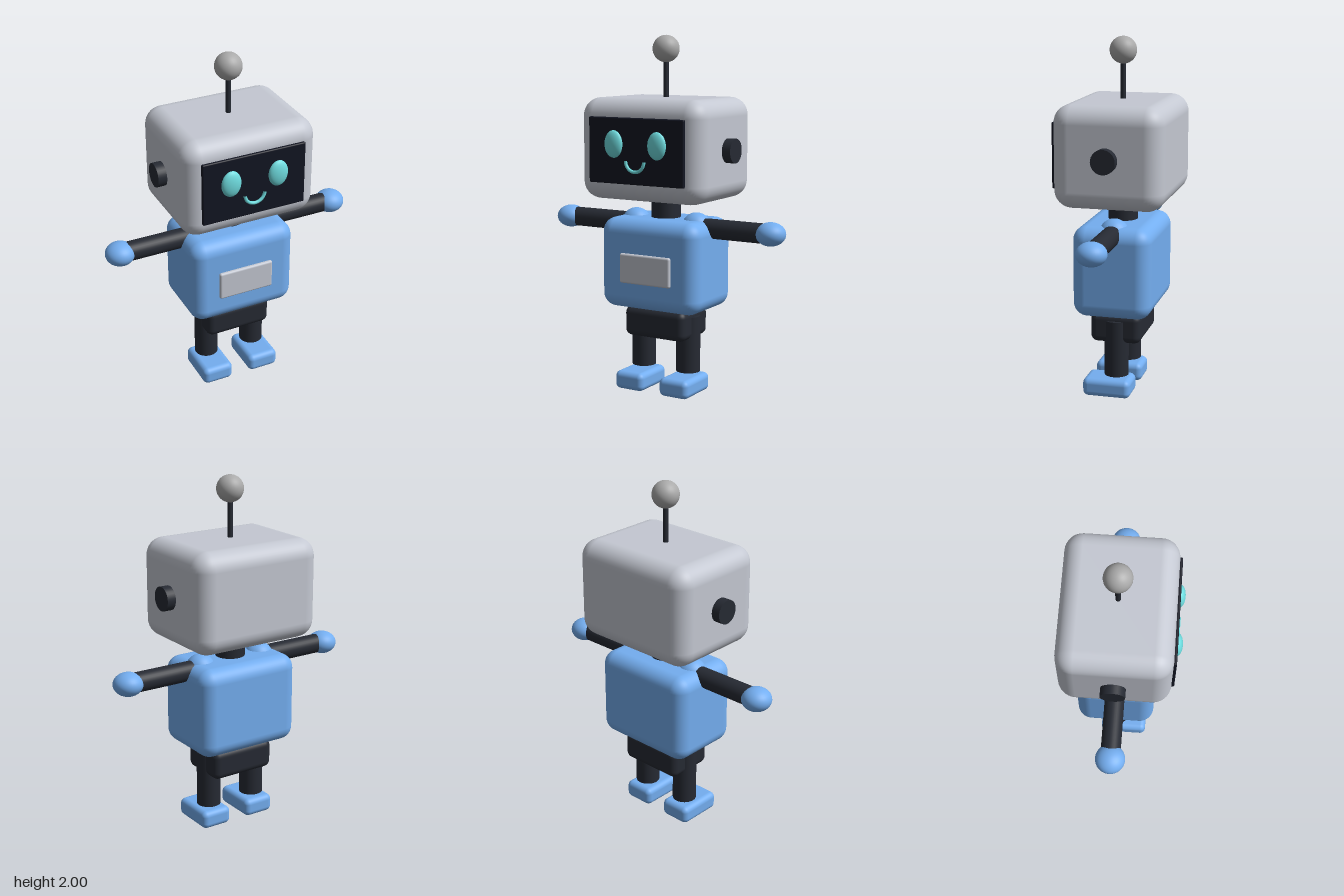
import * as THREE from 'three';
import { RoundedBoxGeometry } from 'three/addons/geometries/RoundedBoxGeometry.js';

const paint = (color) => new THREE.MeshStandardMaterial({ color });

export function createModel() {
  const model = new THREE.Group();
  const blue = paint(0x74aef0), shell = paint(0xc4c8d2), dark = paint(0x262a33);
  const black = paint(0x121522), cyan = paint(0x6fdde0), metal = paint(0xaaaaaa);
  const Z = -0.02; // depth of the main axis

  const add = (name, geometry, material, x, y, z) => {
    const mesh = new THREE.Mesh(geometry, material);
    mesh.name = name;
    mesh.position.set(x, y, z);
    model.add(mesh);
    return mesh;
  };
  const box = (name, mat, w, h, d, r, x, y, z) =>
    add(name, new RoundedBoxGeometry(w, h, d, 5, r), mat, x, y, z);
  const rod = (name, mat, r, length, x, y, z) =>
    add(name, new THREE.CylinderGeometry(r, r, length, 32), mat, x, y, z);
  const ball = (name, mat, rx, ry, rz, x, y, z) => {
    const mesh = add(name, new THREE.SphereGeometry(1, 32, 20), mat, x, y, z);
    mesh.scale.set(rx, ry, rz);
    return mesh;
  };

  // Head with its screen and antenna
  box('head', shell, 0.78, 0.56, 0.61, 0.1, 0, 1.38, Z);
  box('screen', black, 0.6, 0.36, 0.03, 0.008, 0, 1.38, 0.285);
  rod('antennaRod', dark, 0.015, 0.24, 0, 1.76, Z);
  ball('antennaBall', metal, 0.075, 0.075, 0.075, 0, 1.925, Z);

  // Smile: half a ring opening upwards
  const smile = add('smile', new THREE.TorusGeometry(0.058, 0.0095, 10, 32, Math.PI), cyan, 0, 1.328, 0.303);
  smile.rotation.z = Math.PI;

  // Torso
  rod('neck', dark, 0.083, 0.145, 0, 1.0125, Z);
  box('torso', blue, 0.624, 0.51, 0.44, 0.08, 0, 0.735, Z);
  box('chestPanel', shell, 0.324, 0.167, 0.03, 0.012, 0, 0.718, 0.202);
  box('pelvis', dark, 0.39, 0.17, 0.288, 0.04, 0, 0.396, Z);

  // Paired parts
  for (const [side, s] of [['left', 1], ['right', -1]]) {
    ball(side + 'Eye', cyan, 0.057, 0.075, 0.028, s * 0.137, 1.416, 0.3);
    rod(side + 'Ear', dark, 0.067, 0.1, s * 0.39, 1.38, Z).rotation.z = Math.PI / 2;
    ball(side + 'Shoulder', blue, 0.083, 0.083, 0.083, s * 0.197, 0.945, Z);
    rod(side + 'Arm', dark, 0.055, 0.42, s * 0.41, 0.945, Z).rotation.z = Math.PI / 2;
    ball(side + 'Hand', blue, 0.083, 0.065, 0.083, s * 0.654, 0.945, Z);
    rod(side + 'Leg', dark, 0.068, 0.32, s * 0.147, 0.28, Z);
    box(side + 'Foot', blue, 0.185, 0.104, 0.272, 0.032, s * 0.146, 0.052, 0.023);
  }
  return model;
}
